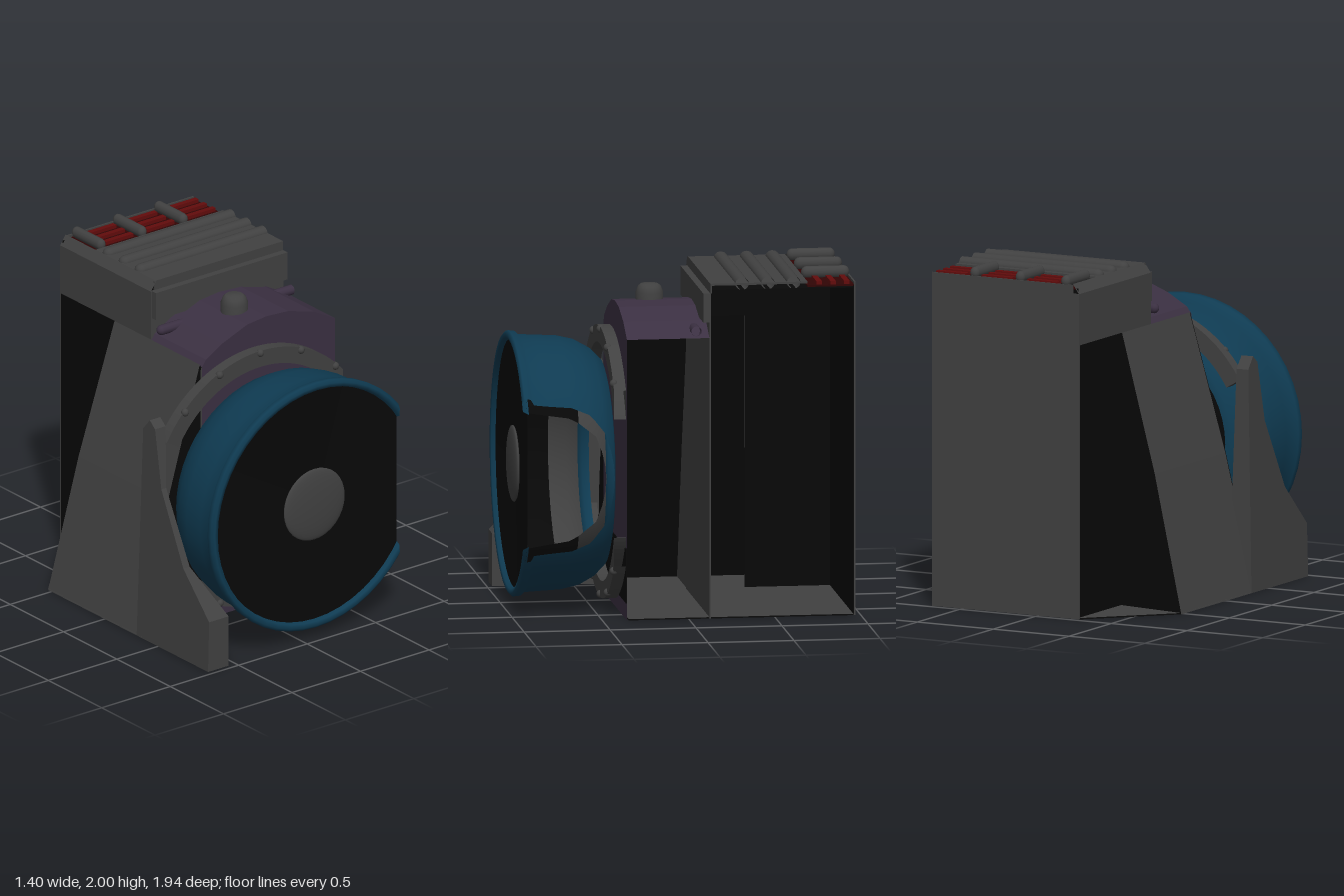
import * as THREE from 'three';

const CUT = 0.7; // the model ends in an open section at this x
const CX = 0.1, CY = 0.83; // axis of the round front

const mat = (name, color) => new THREE.MeshStandardMaterial({ name, color, side: THREE.DoubleSide });

// Removes everything beyond x = CUT, leaving the section open
function clip(geometry) {
  const g = geometry.index ? geometry.toNonIndexed() : geometry;
  const p = g.attributes.position, n = g.attributes.normal;
  const pos = [], nor = [];
  const corner = i => ({
    p: new THREE.Vector3().fromBufferAttribute(p, i),
    n: new THREE.Vector3().fromBufferAttribute(n, i),
  });
  for (let i = 0; i < p.count; i += 3) {
    const tri = [corner(i), corner(i + 1), corner(i + 2)], poly = [];
    tri.forEach((a, k) => {
      const b = tri[(k + 1) % 3];
      const inA = a.p.x <= CUT + 1e-6, inB = b.p.x <= CUT + 1e-6;
      if (inA) poly.push(a);
      if (inA !== inB) {
        const t = (CUT - a.p.x) / (b.p.x - a.p.x);
        poly.push({ p: a.p.clone().lerp(b.p, t), n: a.n.clone().lerp(b.n, t).normalize() });
      }
    });
    for (let k = 1; k < poly.length - 1; k++) {
      for (const v of [poly[0], poly[k], poly[k + 1]]) {
        pos.push(...v.p.toArray());
        nor.push(...v.n.toArray());
      }
    }
  }
  const out = new THREE.BufferGeometry();
  out.setAttribute('position', new THREE.Float32BufferAttribute(pos, 3));
  out.setAttribute('normal', new THREE.Float32BufferAttribute(nor, 3));
  return out;
}

// Surface through rows of points
function loft(rows) {
  const idx = [], w = rows[0].length;
  for (let r = 0; r < rows.length - 1; r++) {
    for (let c = 0; c < w - 1; c++) {
      const a = r * w + c, b = a + w;
      idx.push(a, b, a + 1, b, b + 1, a + 1);
    }
  }
  const g = new THREE.BufferGeometry();
  g.setAttribute('position', new THREE.Float32BufferAttribute(rows.flat(2), 3));
  g.setIndex(idx);
  const flat = g.toNonIndexed();
  flat.computeVertexNormals();
  return flat;
}

const shape = pts => new THREE.Shape(pts.map(([x, y]) => new THREE.Vector2(x, y)));
const box = (x0, x1, y0, y1, z0, z1) =>
  new THREE.BoxGeometry(x1 - x0, y1 - y0, z1 - z0).translate((x0 + x1) / 2, (y0 + y1) / 2, (z0 + z1) / 2);
const lathe = pts =>
  new THREE.LatheGeometry(pts.map(([r, z]) => new THREE.Vector2(r, z)), 48).rotateX(Math.PI / 2).translate(CX, CY, 0);

export function createModel() {
  const model = new THREE.Group();
  model.name = 'machine';
  const grey = mat('grey metal', 0x414141);
  const black = mat('black', 0x080808);
  const blue = mat('deep blue', 0x0f3b52);
  const purple = mat('dull purple', 0x3b3042);
  const darkRed = mat('dark red', 0x300505);
  const red = mat('red', 0x620c0c);
  const add = (name, geometry, material) => {
    const m = new THREE.Mesh(clip(geometry), material);
    m.name = name;
    model.add(m);
    return m;
  };

  // Tower shell with black lining
  add('towerBack', box(-0.27, CUT, 0, 1.9, -0.97, -0.96), grey);
  add('towerBackTop', box(-0.23, CUT, 1.9, 1.95, -0.97, -0.96), grey);
  add('towerBackLining', box(-0.26, CUT, 0.01, 1.93, -0.96, -0.955), black);
  add('towerSide', box(-0.27, -0.26, 1.6, 1.9, -0.97, -0.12), grey);
  add('towerSideLining', box(-0.26, -0.255, 1.6, 1.9, -0.96, -0.13), black);
  add('towerRecess', box(-0.27, -0.265, 0.01, 1.6, -0.96, -0.46), black);
  add('towerFront', box(-0.27, CUT, 0, 1.9, -0.13, -0.12), grey);
  add('towerFrontTop', box(-0.24, CUT, 1.9, 1.955, -0.135, -0.125), grey);
  add('roof', box(-0.23, CUT, 1.945, 1.957, -0.69, -0.125), grey);
  add('roofBevel', loft([-0.12, -0.97].map(z => [[-0.27, 1.9, z], [-0.23, 1.957, z]])), grey);
  add('roofLining', box(-0.24, CUT, 1.915, 1.92, -0.96, -0.13), black);
  add('browTrim', box(-0.26, CUT, 1.73, 1.9, -0.12, -0.085), grey);

  // Roof ribs running sideways
  for (const z of [-0.61, -0.46, -0.31]) {
    add('roofRib', new THREE.CapsuleGeometry(0.04, 1.2, 6, 12).rotateZ(Math.PI / 2)
      .scale(1, 0.9, 1).translate(0.41, 1.953, z), grey);
  }

  // Sunken red grille with slats and dividing bars
  add('grilleBed', box(-0.245, CUT, 1.925, 1.935, -0.965, -0.69), darkRed);
  for (let i = 0; i < 3; i++) {
    const x = -0.17 + i * 0.3;
    add('grilleBar', new THREE.CapsuleGeometry(0.03, 0.22, 4, 12).rotateX(Math.PI / 2)
      .scale(1, 1.2, 1).translate(x, 1.964, -0.83), grey);
    for (const z of [-0.92, -0.84, -0.76]) {
      add('grilleSlat', box(x + 0.06, x + 0.26, 1.935, 1.955, z - 0.016, z + 0.016), red);
    }
  }

  // Flared skirt on the right side, with a wall facing the rear recess
  const skirtRows = [0, 0.5, 1].map(t => [[-0.46, -0.53], [-0.12, -0.12], [0.34, 0.34]].map(([z0, z1]) =>
    [-0.27 - 0.43 * t - (t === 0.5 ? 0.02 : 0), 1.6 * (1 - t), z0 + (z1 - z0) * t]));
  add('skirt', loft(skirtRows), grey);
  add('skirtLining', loft(skirtRows).translate(0.012, 0, 0.006), black);
  add('skirtRear', loft(skirtRows.map(([a]) => [a, [-0.27, a[1], -0.46]])), black);
  const flareFront = shape([[-0.27, 1.6], [-0.505, 0.8], [-0.7, 0], [-0.27, 0]]);
  add('skirtFront', new THREE.ShapeGeometry(flareFront).translate(0, 0, 0.345), black);
  add('skirtPartition', new THREE.ShapeGeometry(flareFront).translate(0, 0, -0.125), grey);

  // Floor
  const plan = shape([[CUT, 0.97], [-0.27, 0.97], [-0.7, 0.53], [-0.7, -0.35], [CUT, -0.35]]);
  add('floor', new THREE.ShapeGeometry(plan).rotateX(-Math.PI / 2).translate(0, 0.008, 0), grey);
  add('underside', new THREE.ShapeGeometry(plan).rotateX(-Math.PI / 2), black);

  // Arched purple housing
  const arch = [[-0.27, 1.59], [-0.24, 1.63], [-0.12, 1.7], [0.06, 1.77], [0.2, 1.785], [0.36, 1.775],
    [0.55, 1.72], [CUT, 1.64]];
  add('housingArch', loft([0.36, -0.12].map(z => arch.map(([x, y]) => [x, y, z]))), purple);
  add('housingFront', new THREE.ShapeGeometry(shape([...arch, [CUT, 0], [-0.5, 0], [-0.5, 0.1], [-0.27, 0.2]]))
    .translate(0, 0, 0.36), purple);
  add('housingLowerPanel', box(-0.5, CUT, 0.1, 0.42, 0.361, 0.366), black);
  for (const x of [-0.17, 0.66]) {
    add('housingLug', new THREE.CapsuleGeometry(0.03, 0.16, 4, 10).rotateZ(Math.PI / 2)
      .translate(x, 1.68, -0.045), purple);
  }

  // Knob on the housing
  add('knob', lathe([[0.08, 0], [0.08, 0.09], [0.066, 0.125], [0.05, 0.138], [0, 0.142]])
    .translate(-CX, -CY, 0).rotateX(-Math.PI / 2).translate(0.13, 1.73, 0.15), grey);

  // Bolted mounting ring, in an upper and a lower arc
  for (const start of [Math.PI / 6, Math.PI * 7 / 6]) {
    const end = start + Math.PI * 2 / 3;
    const band = new THREE.Shape();
    band.absarc(CX, CY, 0.79, start, end, false);
    band.absarc(CX, CY, 0.69, end, start, true);
    add('mountRing', new THREE.ExtrudeGeometry(band, { depth: 0.07, bevelEnabled: false, curveSegments: 24 })
      .translate(0, 0, 0.365), grey);
    for (let i = 0; i < 5; i++) {
      const a = start + Math.PI / 12 + (i * Math.PI) / 8;
      add('ringBolt', new THREE.SphereGeometry(0.024, 10, 8)
        .translate(CX + Math.cos(a) * 0.775, CY + Math.sin(a) * 0.775, 0.43), grey);
    }
  }

  // Blue bowl, open behind, with rolled rim and dark inside
  add('bowl', lathe([[0.56, 0.42], [0.6, 0.43], [0.66, 0.49], [0.71, 0.58], [0.733, 0.68], [0.74, 0.82],
    [0.745, 0.9], [0.765, 0.92], [0.768, 0.955], [0.75, 0.97], [0.725, 0.965], [0.715, 0.93]]), blue);
  add('bowlLip', lathe([[0.56, 0.42], [0.56, 0.46], [0.6, 0.48]]), blue);
  add('bowlInside', lathe([[0.6, 0.48], [0.65, 0.54], [0.685, 0.64]]), grey);
  add('bowlLining', lathe([[0.685, 0.64], [0.7, 0.7], [0.71, 0.82], [0.72, 0.93]]), black);

  // Front disc and hub
  add('frontDisc', lathe([[0, 0.925], [0.72, 0.94]]), black);
  add('hub', new THREE.SphereGeometry(0.222, 36, 16).scale(1, 1, 0.13).translate(CX, CY, 0.938), grey);

  // Tapering fender beside the bowl
  const fender = new THREE.ExtrudeGeometry(
    shape([[0.3, 0], [0.97, 0], [0.97, 0.31], [0.72, 0.56], [0.5, 0.98], [0.43, 1.33], [0.38, 1.37], [0.32, 1.3]]),
    { depth: 1, bevelEnabled: false });
  const fp = fender.attributes.position;
  for (let i = 0; i < fp.count; i++) {
    const z = fp.getX(i), y = fp.getY(i);
    // wide at the foot, thin where it passes the bowl
    const inner = y < 0.4 ? -0.55 : y < 0.99 ? -0.64 : -0.59;
    fp.setXYZ(i, THREE.MathUtils.lerp(inner, -0.7 + 0.025 * y, fp.getZ(i)), y, z);
  }
  fender.computeVertexNormals();
  add('fender', fender, grey);

  return model;
}
